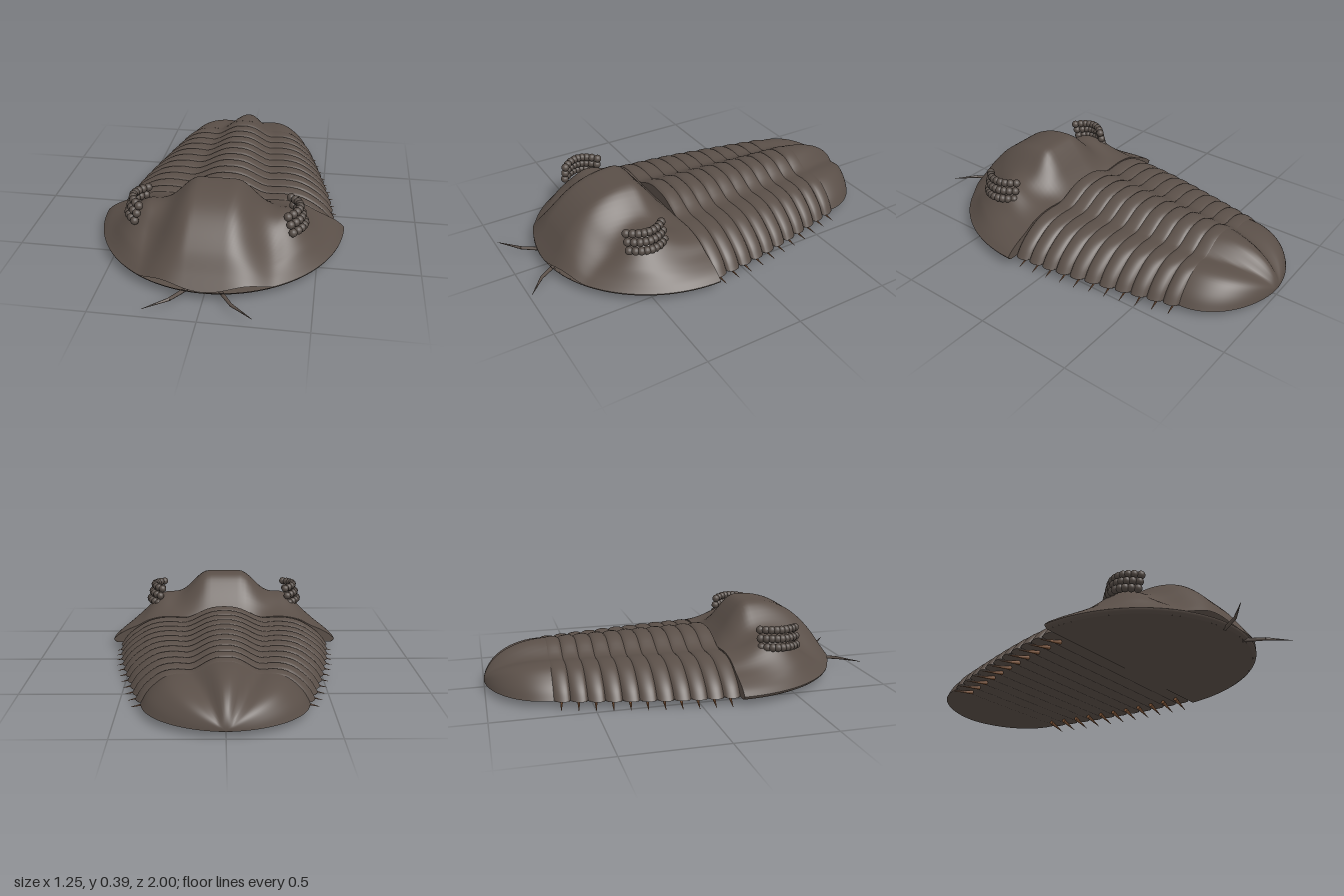
import * as THREE from 'three';

const shellMat = new THREE.MeshStandardMaterial({ color: 0x5a4f48, side: THREE.DoubleSide });
shellMat.name = 'shell brown grey';
const eyeMat = new THREE.MeshStandardMaterial({ color: 0x544b45 });
eyeMat.name = 'eye grey';
const legMat = new THREE.MeshStandardMaterial({ color: 0x7a5236 });
legMat.name = 'leg brown';

const FLOOR = 0.035;
const { smoothstep, lerp } = THREE.MathUtils;

// Smooth curve through [position, value] pairs
function curve(points) {
  const c = new THREE.CubicInterpolant(points.map(p => p[0]), points.map(p => p[1]), 1);
  return t => c.evaluate(t)[0];
}

// Grid surface: fn(u, v) gives [x, y, z] for u and v from 0 to 1
function sheet(name, nu, nv, fn) {
  const pos = [], index = [];
  for (let j = 0; j <= nv; j++) {
    for (let i = 0; i <= nu; i++) {
      pos.push(...fn(i / nu, j / nv));
      if (i < nu && j < nv) {
        const a = j * (nu + 1) + i, b = a + nu + 1;
        index.push(a, b, a + 1, b, b + 1, a + 1);
      }
    }
  }
  const g = new THREE.BufferGeometry();
  g.setAttribute('position', new THREE.Float32BufferAttribute(pos, 3));
  g.setIndex(index);
  g.computeVertexNormals();
  const m = new THREE.Mesh(g, shellMat);
  m.name = name;
  return m;
}

// Tapered rod between two points
function rod(name, a, b, r0, r1, mat) {
  const from = new THREE.Vector3(...a), dir = new THREE.Vector3(...b).sub(from);
  const g = new THREE.CylinderGeometry(r1, r0, dir.length(), 8);
  g.translate(0, dir.length() / 2, 0);
  const m = new THREE.Mesh(g, mat);
  m.name = name;
  m.position.copy(from);
  m.quaternion.setFromUnitVectors(new THREE.Vector3(0, 1, 0), dir.normalize());
  return m;
}

// Spread samples towards the outer edges
const spread = u => -Math.cos(u * Math.PI);

// ---- Head shield ----
const HEAD_Z = 0.19, HEAD_W = 0.625, HEAD_D = 0.665;
const brow = curve([[0, 0.18], [0.3, 0.18], [0.55, 0.178], [0.69, 0.16], [0.77, 0.135],
  [0.86, 0.112], [0.95, 0.082], [1, 0.055]]);
const ridge = curve([[0.19, 0.18], [0.25, 0.25], [0.3, 0.32], [0.355, 0.38], [0.42, 0.39], [0.55, 0.365],
  [0.65, 0.31], [0.75, 0.21], [0.81, 0.12], [0.855, 0.055]]);

function headHeight(x, z) {
  const ax = Math.abs(x);
  const r = Math.min(1, Math.hypot(x / HEAD_W, (z - HEAD_Z) / HEAD_D));
  const cheek = 0.1 * Math.exp(-(((ax - 0.34) / 0.13) ** 2) - ((z - 0.45) / 0.16) ** 2);
  const base = brow(r) + cheek * smoothstep(1 - r, 0, 0.12);
  const middle = 1 - smoothstep(ax, 0.09, 0.32);
  return base + (ridge(z) - base) * middle;
}

function buildHead() {
  const head = new THREE.Group();
  head.name = 'head';
  const at = (u, v, k = 1) => {
    const a = v * Math.PI / 2;
    return [HEAD_W * Math.cos(a) * spread(u) * k, HEAD_Z + HEAD_D * Math.sin(a) * k];
  };
  head.add(sheet('headShield', 80, 64, (u, v) => {
    const [x, z] = at(u, v);
    return [x, headHeight(x, z), z];
  }));
  // Rounded lip curling under the rim
  head.add(sheet('headRim', 64, 4, (u, v) => {
    const a = u * Math.PI, k = 1 - 0.03 * v * v;
    return [HEAD_W * Math.cos(a) * k, lerp(0.055, FLOOR, v), HEAD_Z + HEAD_D * Math.sin(a) * k];
  }));
  head.add(sheet('headUnderside', 32, 24, (u, v) => {
    const [x, z] = at(u, v, 0.97);
    return [x, FLOOR, z];
  }));
  head.add(sheet('headBack', 60, 1, (u, v) => {
    const x = HEAD_W * spread(u) * (1 - 0.03 * v);
    return [x, v ? FLOOR : headHeight(x, HEAD_Z), HEAD_Z];
  }));
  return head;
}

// ---- Body cross-section, shared by the segments and the tail ----
const flank = curve([[0, 0.135], [0.35, 0.138], [0.55, 0.145], [0.7, 0.132], [0.83, 0.095], [0.94, 0.045], [1, 0]]);
function bodyPoint(s, width, axis, height) {
  const x = s * width;
  const t = Math.min(1, Math.abs(x) / axis);
  const arch = 0.07 * (0.5 + 0.5 * Math.cos(Math.PI * t ** 1.3));
  return [x, FLOOR + (flank(Math.abs(s)) + arch) * height];
}

const BODY_END = -0.69, COUNT = 11, PITCH = (HEAD_Z - BODY_END) / COUNT;
const bodyWidth = curve([[0, 0.56], [0.3, 0.53], [0.65, 0.465], [1, 0.385]]);
const bodyAxis = q => lerp(0.24, 0.17, q);
const bodyTall = q => lerp(1, 0.93, q);

function buildBody() {
  const body = new THREE.Group();
  body.name = 'body';
  for (let i = 0; i < COUNT; i++) {
    const row = (s, v) => {
      const q = (i + v) / COUNT;
      const bulge = Math.sqrt(Math.max(0, Math.sin(Math.PI * v)));
      const p = bodyPoint(s, bodyWidth(q) + 0.022 * bulge, bodyAxis(q), bodyTall(q) * (1 + 0.065 * bulge));
      return { p, bulge, z: HEAD_Z - (i + v) * PITCH };
    };
    body.add(sheet('bodySegment', 56, 10, (u, v) => {
      const { p, z } = row(spread(u), v);
      return [p[0], p[1], z];
    }));
    body.add(sheet('segmentUnderside', 8, 10, (u, v) => {
      const { p, z, bulge } = row(u * 2 - 1, v);
      return [p[0], FLOOR + 0.005 * (1 - bulge), z];
    }));
  }
  // End walls
  for (const [q, z] of [[0, HEAD_Z], [1, BODY_END]]) {
    body.add(sheet('bodyEndWall', 56, 1, (u, v) => {
      const p = bodyPoint(spread(u), bodyWidth(q), bodyAxis(q), bodyTall(q));
      return [p[0], v ? FLOOR : p[1], z];
    }));
  }
  return body;
}

// ---- Tail shield ----
function buildTail() {
  const tail = new THREE.Group();
  tail.name = 'tail';
  const row = (s, v) => {
    const q = Math.sin(v * Math.PI / 2);
    const width = 0.39 * Math.max(0, 1 - q * q) ** 0.55;
    const p = bodyPoint(s, width, lerp(0.17, 0.03, q), 0.97 * Math.max(0, 1 - q ** 2.2) ** 0.55);
    return [p, lerp(BODY_END + 0.01, -1, q)];
  };
  tail.add(sheet('tailShield', 56, 32, (u, v) => {
    const [p, z] = row(spread(u), v);
    return [p[0], p[1], z];
  }));
  tail.add(sheet('tailUnderside', 16, 24, (u, v) => {
    const [p, z] = row(u * 2 - 1, v);
    return [p[0], FLOOR, z];
  }));
  return tail;
}

// ---- Eyes: three curved rows of round lenses ----
function buildEye(side) {
  const eye = new THREE.Group();
  eye.name = side > 0 ? 'leftEye' : 'rightEye';
  const lens = new THREE.SphereGeometry(0.021, 14, 10);
  for (let r = 0; r < 3; r++) {
    for (let i = 0; i < 9; i++) {
      const a = lerp(-1, 1, i / 8);
      const m = new THREE.Mesh(lens, eyeMat);
      m.name = 'lens';
      m.position.set(side * (0.432 - 0.013 * r - 0.05 * a * a), 0.218 + 0.042 * r + 0.006 * (1 - a * a), 0.457 + 0.094 * a);
      eye.add(m);
    }
  }
  return eye;
}

export function createModel() {
  const model = new THREE.Group();
  model.name = 'trilobite';
  model.add(buildHead(), buildBody(), buildTail());
  for (const side of [1, -1]) {
    model.add(buildEye(side));
    // Feelers bend outwards in front of the head
    const feeler = [[0.08, 0.04, 0.82], [0.14, 0.042, 0.91], [0.245, 0.045, 1]].map(([x, y, z]) => [side * x, y, z]);
    model.add(rod('feelerBase', feeler[0], feeler[1], 0.01, 0.008, shellMat));
    model.add(rod('feelerTip', feeler[1], feeler[2], 0.008, 0.001, shellMat));
    // One pointed leg under each segment
    for (let i = 0; i < COUNT; i++) {
      const edge = bodyWidth((i + 0.5) / COUNT) + 0.022, z = HEAD_Z - (i + 0.4) * PITCH;
      model.add(rod('leg', [side * (edge - 0.1), 0.026, z], [side * (edge + 0.022), 0.002, z - 0.018], 0.011, 0.001, legMat));
    }
  }
  return model;
}
